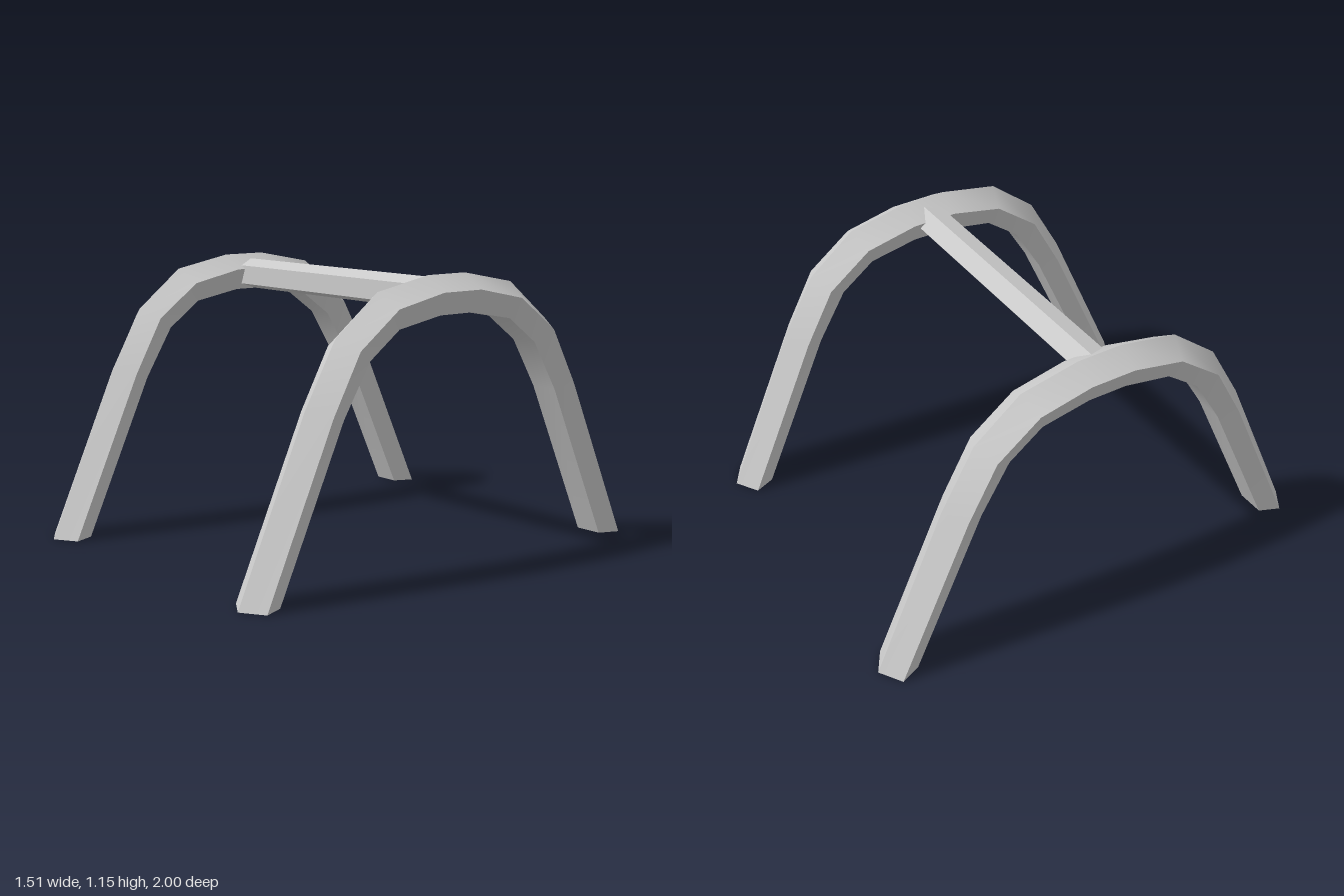
import * as THREE from 'three';
import { toCreasedNormals } from 'three/addons/utils/BufferGeometryUtils.js';

const material = new THREE.MeshStandardMaterial({ color: 0xcccccc, side: THREE.DoubleSide });

// Open tube through a list of rings, smooth along its length and sharp across
function loft(rings) {
  const n = rings[0].length;
  const index = [];
  for (let i = 0; i < rings.length - 1; i++) {
    for (let j = 0; j < n; j++) {
      const a = i * n + j, b = i * n + (j + 1) % n;
      index.push(a, b, b + n, a, b + n, a + n);
    }
  }
  const geometry = new THREE.BufferGeometry();
  geometry.setAttribute('position', new THREE.Float32BufferAttribute(rings.flat(2), 3));
  geometry.setIndex(index);
  return toCreasedNormals(geometry, 0.7);
}

// Half of the arch from foot to crown: [z, y] of the ridge, side and inner edges
const halfArch = [
  [[1, 0], [0.94, 0], [0.855, 0]],
  [[0.695, 0.69], [0.635, 0.675], [0.558, 0.653]],
  [[0.552, 0.943], [0.509, 0.905], [0.435, 0.857]],
  [[0.35, 1.103], [0.322, 1.045], [0.29, 0.964]],
  [[0.097, 1.152], [0.097, 1.092], [0.083, 1.002]],
];

function archGeometry() {
  const back = halfArch.map(s => s.map(([z, y]) => [-z, y])).reverse();
  return loft([...halfArch, ...back].map(([ridge, side, inner]) => [
    [0, ridge[1], ridge[0]],
    [0.095, side[1], side[0]],
    [0.059, inner[1], inner[0]],
    [-0.059, inner[1], inner[0]],
    [-0.095, side[1], side[0]],
  ]));
}

// Five-sided bar, turned slightly about its own axis
function barGeometry() {
  const ring = x => Array.from({ length: 5 }, (_, k) => {
    const a = THREE.MathUtils.degToRad(-18 + 72 * k);
    return [x, 1.067 + 0.068 * Math.cos(a), 0.006 + 0.071 * Math.sin(a)];
  });
  return loft([ring(-0.655), ring(0.655)]);
}

export function createModel() {
  const group = new THREE.Group();
  group.name = 'archFrame';

  // Two arched legs
  const arch = archGeometry();
  for (const [name, x] of [['leftArch', 0.66], ['rightArch', -0.66]]) {
    const mesh = new THREE.Mesh(arch, material);
    mesh.name = name;
    mesh.position.x = x;
    group.add(mesh);
  }

  // Bar joining the crowns
  const bar = new THREE.Mesh(barGeometry(), material);
  bar.name = 'crossBar';
  group.add(bar);

  return group;
}
